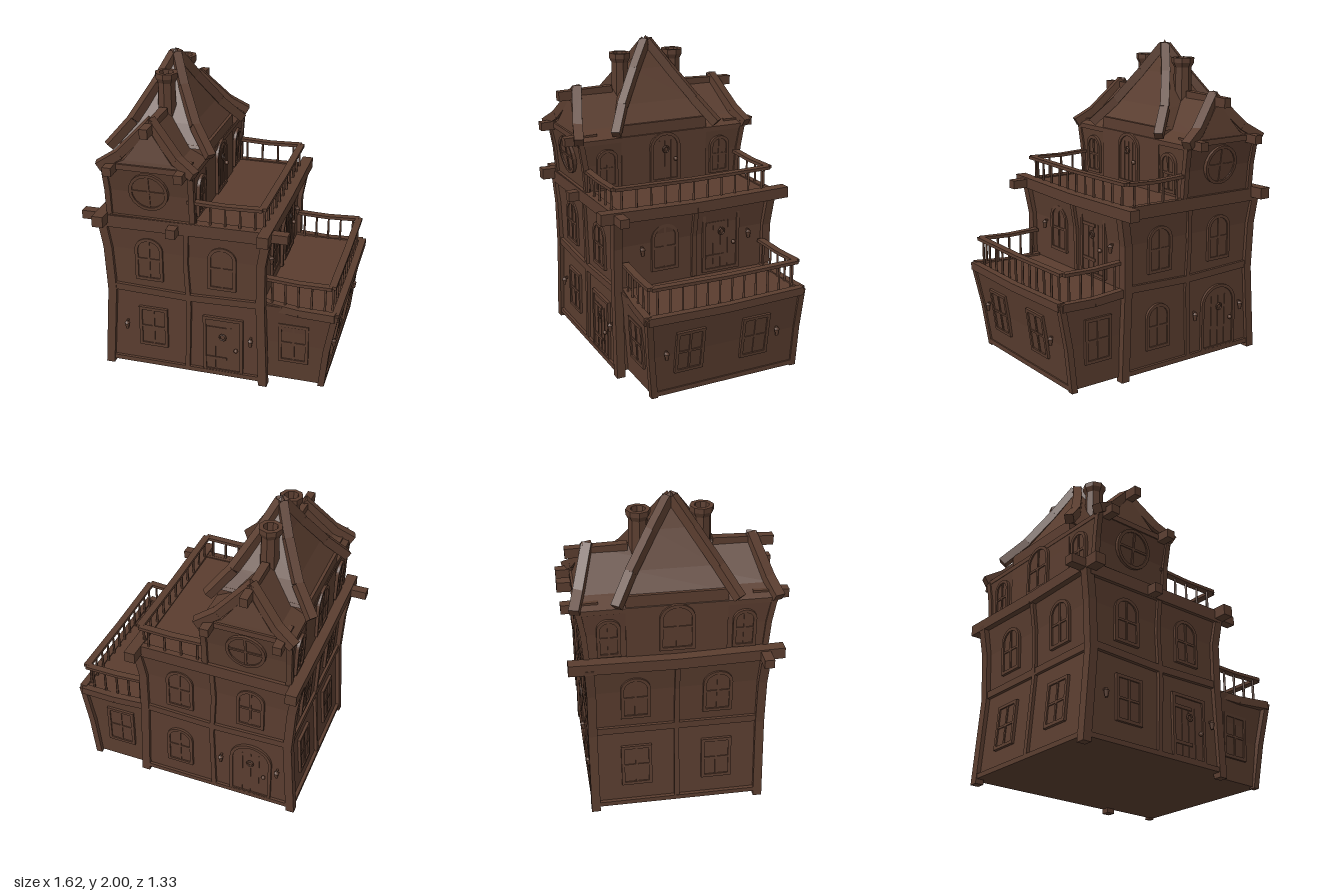
import * as THREE from 'three';

const wood = new THREE.MeshStandardMaterial({ color: 0x5a3d2f });
wood.name = 'dark brown wood';
const V = (x, y, z) => new THREE.Vector3(x, y, z);

function add(parent, name, geo, x = 0, y = 0, z = 0) {
  const m = new THREE.Mesh(geo, wood);
  m.name = name;
  m.position.set(x, y, z);
  parent.add(m);
  return m;
}

// solid skinned through rings of equal point count, flat shaded
function loft(rings) {
  const pos = [], n = rings[0].length;
  const tri = (a, b, c) => pos.push(...a, ...b, ...c);
  for (let i = 0; i + 1 < rings.length; i++) for (let j = 0; j < n; j++) {
    const k = (j + 1) % n, A = rings[i], B = rings[i + 1];
    tri(A[j], A[k], B[k]);
    tri(A[j], B[k], B[j]);
  }
  const first = rings[0], last = rings[rings.length - 1];
  for (let j = 1; j + 1 < n; j++) {
    tri(first[0], first[j + 1], first[j]);
    tri(last[0], last[j], last[j + 1]);
  }
  // turn the solid outward when its signed volume is negative
  let vol = 0;
  for (let i = 0; i < pos.length; i += 9) {
    const [a, b, c] = [0, 3, 6].map(o => V(pos[i + o], pos[i + o + 1], pos[i + o + 2]));
    vol += a.dot(b.cross(c));
  }
  if (vol < 0) for (let i = 0; i < pos.length; i += 9) for (let o = 3; o < 6; o++) {
    [pos[i + o], pos[i + o + 3]] = [pos[i + o + 3], pos[i + o]];
  }
  const g = new THREE.BufferGeometry();
  g.setAttribute('position', new THREE.Float32BufferAttribute(pos, 3));
  g.computeVertexNormals();
  return g;
}

// rows of [y, x0, x1, z0, z1]
const walls = rows => loft(rows.map(([y, a, b, c, d]) => [[a, y, c], [b, y, c], [b, y, d], [a, y, d]]));
// bent post through points [x, y, z]
const post = (pts, w, d = w) => walls(pts.map(([x, y, z]) => [y, x - w / 2, x + w / 2, z - d / 2, z + d / 2]));

function beam(parent, name, a, b, w, h = w) {
  const A = V(...a), B = V(...b);
  const m = add(parent, name, new THREE.BoxGeometry(w, h, A.distanceTo(B)));
  m.position.copy(A).lerp(B, 0.5);
  m.lookAt(B);
  return m;
}

function outline(kind, w, h, y0, Type) {
  const s = new Type();
  if (kind === 'round') return s.absarc(0, y0 + h / 2, w / 2, 0, Math.PI * 2), s;
  const r = kind === 'arch' ? w * 0.45 : 0;
  s.moveTo(-w / 2, y0);
  s.lineTo(w / 2, y0);
  s.lineTo(w / 2, y0 + h - r);
  if (r) s.absellipse(0, y0 + h - r, w / 2, r, 0, Math.PI, false);
  else s.lineTo(-w / 2, y0 + h);
  s.closePath();
  return s;
}

// window or door standing on (x, y, z), turned by ry and leaning by tilt
function opening(parent, name, kind, w, h, x, y, z, ry = 0, tilt = 0, door = false) {
  const g = new THREE.Group(), t = 0.02;
  g.name = name;
  g.position.set(x, y, z);
  g.rotation.set(tilt, ry, 0, 'YXZ');
  const frame = outline(kind, w, h, 0, THREE.Shape);
  frame.holes.push(outline(kind, w - 2 * t, h - 2 * t, t, THREE.Path));
  const opt = { depth: 0.035, bevelEnabled: false, curveSegments: 10 };
  add(g, 'frame', new THREE.ExtrudeGeometry(frame, opt), 0, 0, -0.02);
  const pane = outline(kind, w - 2 * t, h - 2 * t, t, THREE.Shape);
  add(g, 'panel', new THREE.ExtrudeGeometry(pane, { ...opt, depth: 0.006 }));
  if (door) {
    for (const k of [-1, 0, 1]) add(g, 'plankSeam', new THREE.BoxGeometry(0.006, h * 0.78, 0.008), k * w * 0.2, h * 0.44, 0.006);
    if (kind === 'rect') for (const k of [0.25, 0.8]) add(g, 'hinge', new THREE.BoxGeometry(w * 0.5, 0.02, 0.01), -w * 0.16, h * k, 0.008);
    add(g, 'doorKnocker', new THREE.TorusGeometry(0.02, 0.006, 6, 10), 0, h * 0.66, 0.018);
    add(g, 'doorKnob', new THREE.SphereGeometry(0.014, 8, 6), w * 0.33, h * 0.45, 0.02);
  } else {
    add(g, 'uprightBar', new THREE.BoxGeometry(0.014, h - t, 0.014), 0, h / 2, 0.005);
    add(g, 'crossBar', new THREE.BoxGeometry(w - t, 0.014, 0.014), 0, h * 0.5, 0.005);
  }
  parent.add(g);
}

function lantern(parent, x, y, z, ry) {
  const g = new THREE.Group();
  g.name = 'lantern';
  g.position.set(x, y, z);
  g.rotation.y = ry;
  add(g, 'bracket', new THREE.BoxGeometry(0.012, 0.012, 0.03), 0, 0.03, 0.01);
  add(g, 'lamp', new THREE.CylinderGeometry(0.016, 0.009, 0.04, 6), 0, 0, 0.022);
  add(g, 'lampCap', new THREE.ConeGeometry(0.018, 0.02, 6), 0, 0.03, 0.022);
  parent.add(g);
}

// handrail along [x, z] corners with a little sag and thin balusters
function railing(parent, corners, y0, y1, gap) {
  const g = new THREE.Group();
  g.name = 'railing';
  for (let i = 0; i + 1 < corners.length; i++) {
    const [ax, az] = corners[i], [bx, bz] = corners[i + 1];
    const mx = (ax + bx) / 2, mz = (az + bz) / 2, n = Math.round(Math.hypot(bx - ax, bz - az) / gap);
    beam(g, 'handrail', [ax, y1, az], [mx, y1 - 0.008, mz], 0.045, 0.02);
    beam(g, 'handrail', [mx, y1 - 0.008, mz], [bx, y1, bz], 0.045, 0.02);
    for (let k = 0; k < n; k++) {
      const f = (k + 0.5) / n, x = ax + (bx - ax) * f, z = az + (bz - az) * f;
      add(g, 'baluster', new THREE.CylinderGeometry(0.007, 0.008, y1 - y0, 6), x, (y0 + y1) / 2 - 0.005, z);
    }
  }
  parent.add(g);
}

export function createModel() {
  const house = new THREE.Group();
  house.name = 'crookedHouse';
  const R = Math.PI / 2, CX = -0.365;

  // two-storey main block
  const main = new THREE.Group();
  main.name = 'mainBlock';
  add(main, 'mainWalls', walls([[0.03, -0.68, 0.34, -0.52, 0.525], [0.55, -0.64, 0.325, -0.52, 0.52],
    [0.85, -0.65, 0.325, -0.52, 0.525], [1.08, -0.68, 0.36, -0.54, 0.54]]));
  for (const z of [-0.515, 0.52]) {
    const s = Math.sign(z), e = z + 0.008 * s;
    for (const [b, m, u, t] of [[-0.68, -0.64, -0.655, -0.685], [0.345, 0.325, 0.325, 0.36]])
      add(main, 'cornerPost', post([[b, 0, z], [m, 0.55, z], [u, 0.85, z], [t, 1.05, z + 0.01 * s]], 0.055));
    add(main, 'middlePost', post([[-0.15, 0.03, e], [-0.135, 0.5, e], [-0.15, 0.8, e], [-0.14, 1.05, e + 0.01 * s]], 0.03));
    beam(main, 'floorBand', [-0.64, 0.58, e], [-0.14, 0.565, e], 0.03, 0.045);
    beam(main, 'floorBand', [-0.14, 0.565, e], [0.33, 0.58, e], 0.03, 0.045);
    beam(main, 'groundSill', [-0.68, 0.045, e], [0.34, 0.045, e], 0.03, 0.03);
    beam(main, 'topBand', [-0.68, 1.04, z + 0.018 * s], [0.36, 1.05, z + 0.018 * s], 0.04, 0.08);
  }
  add(main, 'middlePost', post([[-0.685, 0.03, 0], [-0.645, 0.55, 0], [-0.655, 0.85, 0], [-0.685, 1.05, 0]], 0.03));
  add(main, 'middlePost', post([[0.328, 0.58, 0], [0.33, 0.85, 0], [0.36, 1.05, 0]], 0.03));
  beam(main, 'floorBand', [-0.645, 0.575, -0.52], [-0.645, 0.575, 0.52], 0.03, 0.045);
  beam(main, 'groundSill', [-0.685, 0.045, -0.52], [-0.685, 0.045, 0.52], 0.03, 0.03);
  // projecting roof beams
  for (const x of [-0.675, 0.355]) {
    beam(main, 'sideBeam', [x, 1.06, -0.645], [x, 1.05, 0], 0.07, 0.07);
    beam(main, 'sideBeam', [x, 1.05, 0], [x, 1.065, 0.64], 0.07, 0.07);
  }
  beam(main, 'frontBeam', [-0.81, 1.06, 0.52], [0.49, 1.06, 0.53], 0.06, 0.055);
  beam(main, 'crossBeam', [-0.215, 1.035, 0.3], [-0.215, 1.035, 0.625], 0.06, 0.06);
  // openings of the main block
  opening(main, 'window', 'rect', 0.19, 0.28, -0.375, 0.17, 0.525);
  opening(main, 'frontDoor', 'rect', 0.26, 0.4, 0.085, 0.05, 0.525, 0, 0, true);
  opening(main, 'backDoor', 'arch', 0.28, 0.43, -0.4, 0.05, -0.522, Math.PI, 0, true);
  opening(main, 'window', 'arch', 0.18, 0.29, 0.09, 0.16, -0.522, Math.PI);
  for (const x of [-0.39, 0.08]) {
    opening(main, 'window', 'arch', 0.18, 0.29, x, 0.65, 0.525);
    opening(main, 'window', 'arch', 0.18, 0.29, x, 0.65, -0.522, Math.PI);
  }
  for (const z of [-0.25, 0.25]) {
    opening(main, 'window', 'rect', 0.19, 0.28, -0.672, 0.17, z, -R, -0.075);
    opening(main, 'window', 'arch', 0.18, 0.29, -0.647, 0.66, z, -R, 0.04);
  }
  opening(main, 'window', 'arch', 0.18, 0.3, 0.327, 0.66, 0.2, R);
  opening(main, 'terraceDoor', 'rect', 0.26, 0.4, 0.328, 0.59, -0.19, R, 0, true);
  for (const [x, y, z, r] of [[-0.55, 0.3, 0.525, 0], [0.265, 0.3, 0.525, 0], [0.325, 0.8, 0.355, R], [0.325, 0.8, -0.385, R],
    [-0.2, 0.3, -0.52, Math.PI], [-0.58, 0.3, -0.52, Math.PI]]) lantern(main, x, y, z, r);
  railing(main, [[-0.13, 0.53], [0.33, 0.53], [0.33, -0.53], [-0.1, -0.53]], 1.08, 1.225, 0.1);
  house.add(main);

  // leaning side wing with terrace
  const wing = new THREE.Group();
  wing.name = 'sideWing';
  add(wing, 'wingWalls', walls([[0.03, 0.3, 0.715, -0.505, 0.46], [0.3, 0.3, 0.745, -0.5, 0.475], [0.57, 0.3, 0.79, -0.505, 0.505]]));
  for (const [b, t] of [[-0.51, -0.51], [0.455, 0.52]])
    add(wing, 'cornerPost', post([[0.705, 0.02, b], [0.735, 0.3, (b + t) / 2], [0.785, 0.575, t]], 0.04));
  const rim = [[0.33, 0.465], [0.785, 0.525], [0.785, -0.515], [0.33, -0.505]];
  for (let i = 0; i < 3; i++) {
    const [ax, az] = rim[i], [bx, bz] = rim[i + 1];
    beam(wing, 'terraceRim', [ax, 0.56, az], [(ax + bx) / 2, 0.55, (az + bz) / 2], 0.045, 0.05);
    beam(wing, 'terraceRim', [(ax + bx) / 2, 0.55, (az + bz) / 2], [bx, 0.563, bz], 0.045, 0.05);
  }
  beam(wing, 'groundSill', [0.715, 0.045, -0.5], [0.715, 0.045, 0.46], 0.025, 0.03);
  opening(wing, 'window', 'rect', 0.19, 0.28, 0.525, 0.17, 0.468, 0, 0.05);
  opening(wing, 'window', 'rect', 0.19, 0.28, 0.525, 0.17, -0.504, Math.PI);
  for (const z of [0.24, -0.205]) opening(wing, 'window', 'rect', 0.19, 0.28, 0.731, 0.17, z, R, 0.14);
  for (const z of [0.395, -0.36]) lantern(wing, 0.742, 0.3, z, R);
  railing(wing, [[0.34, 0.47], [0.755, 0.49], [0.755, -0.49], [0.34, -0.48]], 0.56, 0.745, 0.085);
  house.add(wing);

  // top storey with gabled ends
  const tower = new THREE.Group();
  tower.name = 'topStorey';
  const row = (y, hx, hz) => [y, CX - hx, CX + hx, -hz, hz];
  add(tower, 'towerWalls', walls([row(1.06, 0.27, 0.53), row(1.25, 0.27, 0.545), row(1.4, 0.28, 0.575), row(1.46, 0.15, 0.565), row(1.64, 0.01, 0.53)]));
  add(tower, 'middleWalls', walls([row(1.06, 0.28, 0.3), row(1.3, 0.28, 0.3), row(1.49, 0.28, 0.3)]));
  // saddle roof, steep above and flared at the eaves, ends leaning back toward the ridge
  const profile = [[-0.285, 1.415, 0.59], [-0.185, 1.465, 0.56], [0, 1.68, 0.49], [0.185, 1.465, 0.56], [0.285, 1.415, 0.59]];
  add(tower, 'saddleRoof', loft(profile.map(([x, y, z]) =>
    [[CX + x, y, z], [CX + x, y, -z], [CX + x, y - 0.03, -z], [CX + x, y - 0.03, z]])));
  for (const s of [-1, 1]) {
    for (const k of [-1, 1]) {
      beam(tower, 'bargeBoard', [CX - k * 0.01, 1.695, s * 0.48], [CX + k * 0.185, 1.49, s * 0.555], 0.06, 0.055);
      beam(tower, 'bargeBoard', [CX + k * 0.175, 1.497, s * 0.552], [CX + k * 0.3, 1.42, s * 0.592], 0.06, 0.055);
      beam(tower, 'eavePurlin', [CX + k * 0.22, 1.42, s * 0.45], [CX + k * 0.22, 1.415, s * 0.665], 0.055);
      add(tower, 'cornerPost', post([[CX + k * 0.265, 1.06, s * 0.53], [CX + k * 0.265, 1.25, s * 0.545], [CX + k * 0.27, 1.4, s * 0.57]], 0.035));
      opening(tower, 'window', 'arch', 0.14, 0.25, CX + k * 0.272, 1.1, s * 0.4, k * R, 0.03);
    }
    beam(tower, 'ridgeEnd', [CX, 1.665, s * 0.25], [CX, 1.655, s * 0.615], 0.05, 0.06);
    beam(tower, 'gableTie', [CX - 0.28, 1.42, s * 0.568], [CX + 0.28, 1.42, s * 0.568], 0.03, 0.035);
    opening(tower, 'roundWindow', 'round', 0.25, 0.25, CX, 1.145, s * 0.54, s > 0 ? 0 : Math.PI, 0.14);
    opening(tower, s > 0 ? 'balconyDoor' : 'archedWindow', 'arch', 0.21, s > 0 ? 0.33 : 0.3, CX + s * 0.283, s > 0 ? 1.09 : 1.12, 0, s * R, 0, s > 0);
  }
  house.add(tower);

  // tall curved hip roof with heavy hip beams
  const spire = new THREE.Group();
  spire.name = 'tallRoof';
  add(spire, 'hipRoof', walls([row(1.47, 0.275, 0.31), row(1.6, 0.185, 0.24), row(1.8, 0.08, 0.12), row(1.96, 0.012, 0.012)]));
  const hip = [[0.325, 1.45, 0.355], [0.2, 1.6, 0.255], [0.085, 1.8, 0.12], [0.005, 1.965, 0.008]];
  for (const sx of [-1, 1]) for (const sz of [-1, 1]) for (let i = 0; i < 3; i++) {
    const [a, b] = [hip[i], hip[i + 1]].map(([x, y, z]) => [CX + sx * x, y, sz * z]);
    beam(spire, 'hipBeam', a, b, 0.055);
  }
  add(spire, 'finial', new THREE.ConeGeometry(0.04, 0.06, 4), CX, 1.97, 0);
  house.add(spire);

  // eight-sided chimneys with hollow tops
  const flue = [[0.062, 1.5], [0.056, 1.84], [0.072, 1.87], [0.072, 1.9], [0.045, 1.9], [0.036, 1.82], [0, 1.82]];
  for (const s of [-1, 1]) {
    const g = new THREE.LatheGeometry(flue.map(p => new THREE.Vector2(...p)), 8).toNonIndexed();
    g.computeVertexNormals();
    add(house, 'chimney', g, CX, 0, s * 0.185);
  }
  return house;
}
